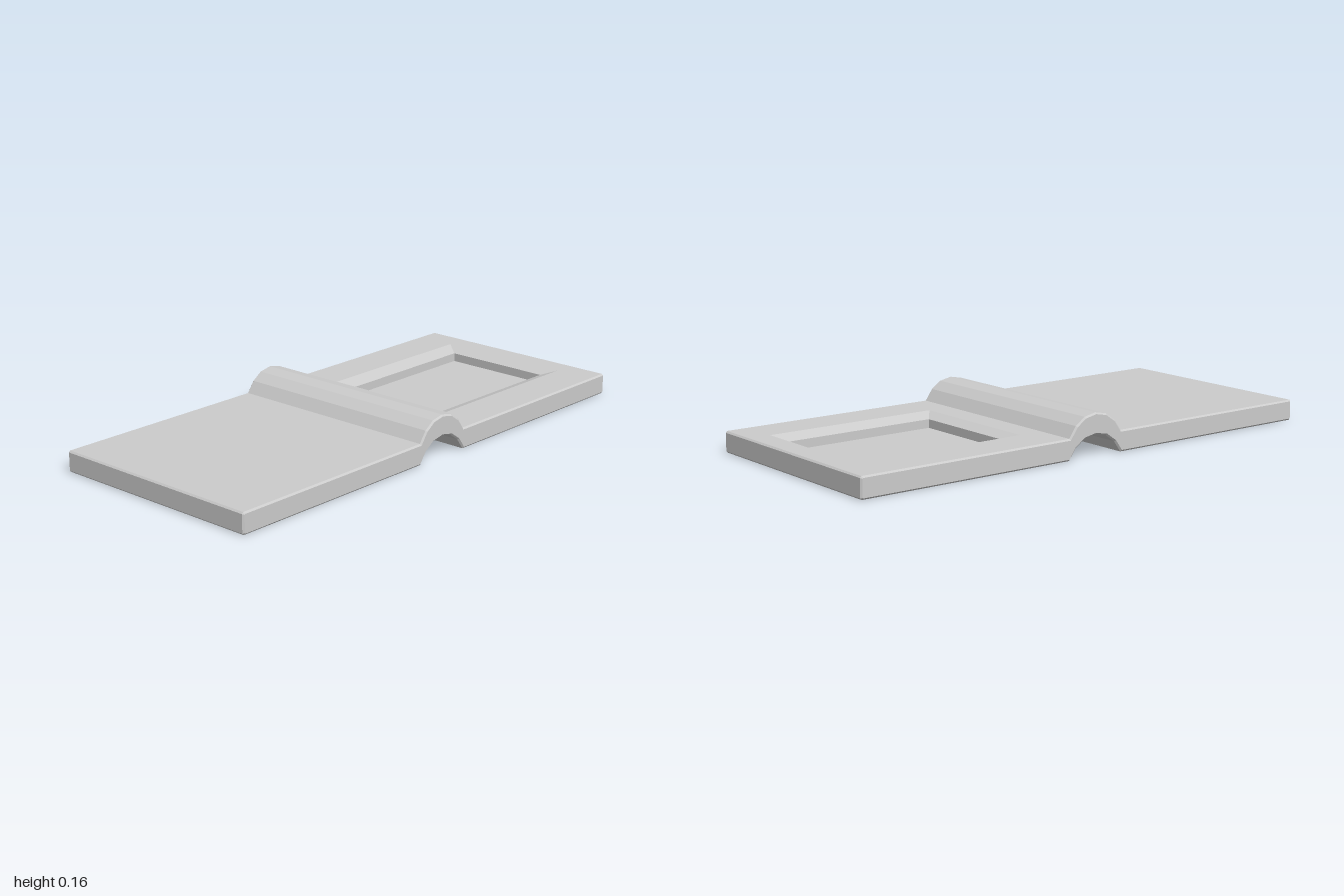
import * as THREE from 'three';

const material = new THREE.MeshStandardMaterial({ color: 0xcccccc, flatShading: true });
const HALF_W = 0.437, BEVEL = 0.006, TOP = 0.08;
const inner = HALF_W - BEVEL;

// Half of the raised bridge, as [distance from centre, height above the slab]
const arch = [[0.12, 0], [0.09, 0.042], [0.05, 0.07], [0, 0.08]];
const fullArch = [...arch, ...arch.slice(0, 3).reverse().map(([d, h]) => [-d, h])];

// Side profile extruded across the width, with small chamfers on every edge
function bodyGeometry() {
  const c = BEVEL;
  const points = [
    [-1 + c, 0], ...fullArch.map(([d, h]) => [-d, h]), [1 - c, 0], [1, c],
    [1, TOP - c], [1 - c, TOP], ...fullArch.map(([d, h]) => [d, h + TOP]),
    [-1 + c, TOP], [-1, TOP - c], [-1, c],
  ].map(([x, y]) => new THREE.Vector2(x, y));
  const geo = new THREE.ExtrudeGeometry(new THREE.Shape(points), {
    depth: 2 * inner, bevelEnabled: true, bevelSize: BEVEL,
    bevelThickness: BEVEL, bevelOffset: -BEVEL, bevelSegments: 1,
  });
  geo.translate(0, 0, -inner);
  geo.rotateY(Math.PI / 2);

  // Leave the top of the back slab open for the recessed panel
  const src = geo.toNonIndexed ? (geo.index ? geo.toNonIndexed() : geo) : geo;
  const p = src.attributes.position;
  const kept = [];
  for (let i = 0; i < p.count; i += 3) {
    const corners = [i, i + 1, i + 2];
    const open = corners.every((k) => Math.abs(p.getY(k) - TOP) < 1e-4 && p.getZ(k) < -0.11);
    if (!open) corners.forEach((k) => kept.push(p.getX(k), p.getY(k), p.getZ(k)));
  }
  return fromPositions(kept);
}

function fromPositions(list) {
  const geo = new THREE.BufferGeometry();
  geo.setAttribute('position', new THREE.Float32BufferAttribute(list, 3));
  geo.computeVertexNormals();
  return geo;
}

// Nested rectangles: flat border, sloped rim, upright wall, floor
function panelGeometry() {
  const rect = (x, back, front, y) => [[-x, y, back], [-x, y, front], [x, y, front], [x, y, back]];
  const rings = [
    rect(inner, -1 + BEVEL, -0.12, TOP),
    rect(0.275, -0.91, -0.215, TOP),
    rect(0.22, -0.87, -0.258, 0.06),
    rect(0.22, -0.87, -0.258, 0.027),
  ];
  const list = [];
  const quad = (a, b, c, d) => list.push(...a, ...b, ...c, ...a, ...c, ...d);
  for (let r = 0; r < rings.length - 1; r++) {
    for (let i = 0; i < 4; i++) {
      const j = (i + 1) % 4;
      quad(rings[r][i], rings[r][j], rings[r + 1][j], rings[r + 1][i]);
    }
  }
  quad(...rings[3]);
  return fromPositions(list);
}

export function createModel() {
  const group = new THREE.Group();
  group.name = 'slabWithBridge';
  const parts = { slabAndBridge: bodyGeometry(), recessedPanel: panelGeometry() };
  for (const [name, geo] of Object.entries(parts)) {
    const mesh = new THREE.Mesh(geo, material);
    mesh.name = name;
    group.add(mesh);
  }
  return group;
}
